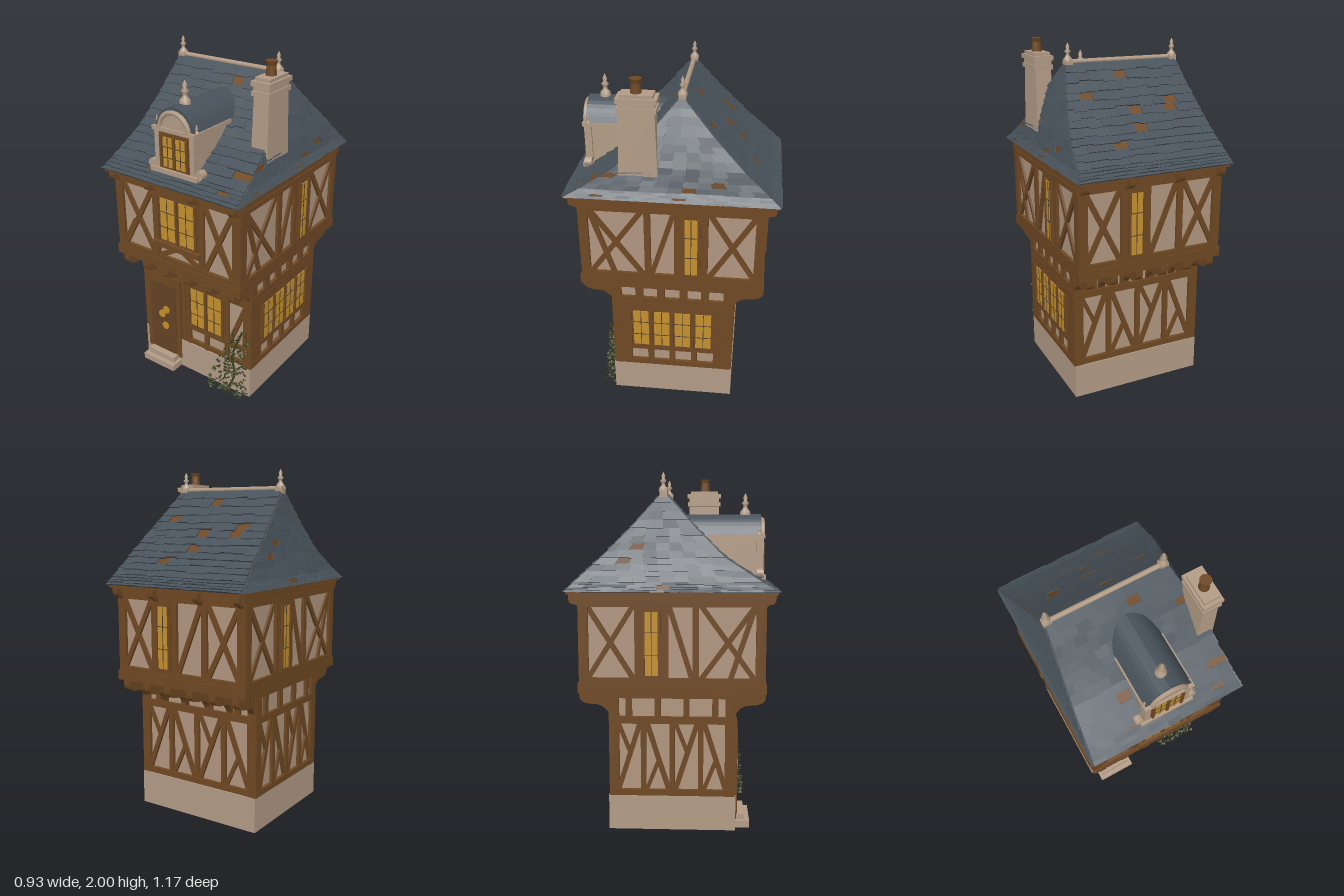
import * as THREE from 'three';
import { mergeGeometries } from 'three/addons/utils/BufferGeometryUtils.js';

const mat = (name, color) => Object.assign(new THREE.MeshStandardMaterial({ color }), { name });
const M = {
  timber: mat('timber', 0x6e4823), plaster: mat('plaster', 0xb0967f), stone: mat('stone', 0xb29b85),
  slate: mat('slate', 0x48525a), glass: mat('amber glass', 0xc4902f), door: mat('door wood', 0x644423),
  ivy: mat('ivy', 0x3c4020), iron: mat('dark metal', 0x4a3d30),
};
let seed = 7;
const rnd = () => (seed = (seed * 16807) % 2147483647) / 2147483647;
const lerp = THREE.MathUtils.lerp;

function add(g, name, geo, m, x = 0, y = 0, z = 0) {
  const mesh = new THREE.Mesh(geo, m);
  mesh.name = name;
  mesh.position.set(x, y, z);
  g.add(mesh);
  return mesh;
}
const box = (g, name, m, w, h, d, x, y, z) => add(g, name, new THREE.BoxGeometry(w, h, d), m, x, y, z);
const group = (parent, name) => {
  const g = new THREE.Group();
  g.name = name;
  parent.add(g);
  return g;
};

// A wall frame: local x runs along the wall, y up, z outward
function wall(parent, name, angle, dist) {
  const g = group(parent, name);
  g.rotation.y = angle;
  g.position.set(Math.sin(angle) * dist, 0, Math.cos(angle) * dist);
  return g;
}
function beam(g, u1, v1, u2, v2, w = 0.032, d = 0.03) {
  const b = box(g, 'timberBeam', M.timber, w, Math.hypot(u2 - u1, v2 - v1), d, (u1 + u2) / 2, (v1 + v2) / 2, 0);
  b.rotation.z = -Math.atan2(u2 - u1, v2 - v1);
}
const posts = (g, us, v0, v1, w) => us.forEach(u => beam(g, u, v0, u, v1, w));
const rails = (g, vs, u0, u1, w) => vs.forEach(v => beam(g, u0, v, u1, v, w, 0.034));
// Diagonal braces in a bay; kind is a string of / and \
function brace(g, u0, u1, v0, v1, kind, w = 0.028) {
  if (kind.includes('/')) beam(g, u0, v0, u1, v1, w, 0.024);
  if (kind.includes('\\')) beam(g, u0, v1, u1, v0, w, 0.022);
}

// Leaded window with n panes
function windowUnit(g, u, v, w, h, n) {
  const win = group(g, 'window');
  box(win, 'windowFrame', M.timber, w + 0.03, h + 0.03, 0.036, u, v, 0);
  const step = w / n, pw = step * (n > 1 ? 0.74 : 0.88);
  for (let i = 0; i < n; i++) {
    const x = u - w / 2 + step * (i + 0.5);
    box(win, 'pane', M.glass, pw, h * 0.94, 0.006, x, v, 0.02);
    [-0.17, 0.17].forEach(k => box(win, 'glazingBar', M.iron, pw, 0.004, 0.004, x, v + h * k, 0.023));
    box(win, 'glazingBar', M.iron, 0.004, h * 0.94, 0.004, x, v, 0.023);
  }
  for (let i = 0; i <= n; i++) box(win, 'mullion', M.timber, 0.014, h, 0.05, u - w / 2 + step * i, v, 0.005);
}

// Curved bracket profile carrying an overhang of depth d and height h, hanging from y = 0
function bracketGeo(d, h, w) {
  const s = new THREE.Shape();
  s.moveTo(0, 0); s.lineTo(0, -h);
  s.quadraticCurveTo(d * 0.15, -h * 0.45, d * 0.6, -h * 0.48);
  s.quadraticCurveTo(d, -h * 0.45, d, -h * 0.2);
  s.lineTo(d, 0);
  const geo = new THREE.ExtrudeGeometry(s, { depth: w, bevelEnabled: false, curveSegments: 6 });
  return geo.translate(0, 0, -w / 2).rotateY(-Math.PI / 2);
}

function finial(g, x, y, z, s) {
  const pts = [[0.028, 0], [0.026, 0.02], [0.012, 0.035], [0.01, 0.05], [0.02, 0.062], [0.008, 0.075], [0.012, 0.09], [0, 0.115]];
  add(g, 'finial', new THREE.LatheGeometry(pts.map(p => new THREE.Vector2(p[0] * s, p[1] * s)), 10), M.stone, x, y, z);
}

// Roof outline by height: y, left, right, front, back
const ROOF = [
  [1.355, -0.452, 0.452, 0.578, -0.578], [1.41, -0.438, 0.438, 0.48, -0.52], [1.54, -0.415, 0.415, 0.28, -0.375],
  [1.7, -0.393, 0.365, 0.12, -0.215], [1.88, -0.372, 0.3, -0.04, -0.05],
];
function ring(t) {
  const k = Math.min(Math.floor(t * 4), 3);
  return ROOF[k].map((a, i) => lerp(a, ROOF[k + 1][i], t * 4 - k));
}
// Point on roof side (0 front, 1 right, 2 back, 3 left), u from its own left to right
function roofPoint(side, u, t) {
  const [y, l, r, f, b] = ring(t);
  const c = [[l, f], [r, f], [r, b], [l, b]], p = c[side], q = c[(side + 1) % 4];
  return new THREE.Vector3(lerp(p[0], q[0], u), y, lerp(p[1], q[1], u));
}
function slate(side, u0, u1, t0, t1, thick) {
  const geo = new THREE.BoxGeometry(1, 1, 1), pos = geo.attributes.position;
  const o = roofPoint(side, u0, t0);
  const n = roofPoint(side, u1, t0).sub(o).cross(roofPoint(side, (u0 + u1) / 2, t1).sub(o)).normalize();
  for (let i = 0; i < pos.count; i++) {
    const up = pos.getY(i) + 0.5;
    const p = roofPoint(side, lerp(u0, u1, pos.getX(i) + 0.5), lerp(t0, t1, up));
    p.addScaledVector(n, pos.getZ(i) > 0 ? lerp(thick, 0.003, up) : 0.0005);
    pos.setXYZ(i, p.x, p.y, p.z);
  }
  geo.computeVertexNormals();
  return geo;
}
function roof(model) {
  const g = group(model, 'roof'), base = [], slates = [], rows = 16;
  for (let s = 0; s < 4; s++) {
    for (let k = 0; k < 4; k++) {
      const c = [[0, k], [1, k], [1, k + 1], [0, k], [1, k + 1], [0, k + 1]].map(([u, t]) => roofPoint(s, u, t / 4));
      base.push(new THREE.BufferGeometry().setFromPoints(c));
    }
    for (let r = 0; r < rows; r++) {
      const t0 = r / rows, t1 = (r + 1) / rows;
      const len = roofPoint(s, 0, t0).distanceTo(roofPoint(s, 1, t0));
      const n = Math.max(1, Math.round(len / 0.075));
      for (let i = 0; i < n; i++) {
        const off = r % 2 ? 0.5 : 0, u0 = Math.max(0, (i - off) / n), u1 = i === n - 1 ? 1 : (i + 1 - off) / n;
        if (rnd() < 0.03 && r > 0) continue;
        slates.push(slate(s, u0, u1, Math.max(0, t0 - rnd() * 0.018), t1, 0.007 + rnd() * 0.006));
      }
    }
  }
  const deck = mergeGeometries(base);
  deck.computeVertexNormals();
  add(g, 'roofDeck', deck, M.timber);
  add(g, 'roofSlates', mergeGeometries(slates), M.slate);
  box(g, 'eaves', M.timber, 0.89, 0.018, 1.14, 0, 1.35, 0);
  const cap = add(g, 'ridgeCap', new THREE.CylinderGeometry(0.014, 0.014, 0.68, 8), M.stone, -0.036, 1.883, -0.045);
  cap.rotation.z = Math.PI / 2;
  [-0.36, 0.285].forEach(x => {
    box(g, 'finialBase', M.stone, 0.045, 0.04, 0.04, x, 1.875, -0.047);
    finial(g, x, 1.885, -0.047, 0.9);
  });
}

function chimney(model) {
  const g = group(model, 'chimney');
  const stack = new THREE.CylinderGeometry(0.066, 0.075, 0.38, 4, 1).rotateY(Math.PI / 4).scale(0.95, 1, 1.95);
  add(g, 'chimneyStack', stack.toNonIndexed(), M.stone, 0.38, 1.67, 0.17).geometry.computeVertexNormals();
  [[0.108, 0.205, 1.845, 0.025], [0.095, 0.185, 1.87, 0.03], [0.115, 0.21, 1.895, 0.025], [0.09, 0.17, 1.915, 0.02]]
    .forEach(([w, d, y, h]) => box(g, 'chimneyCap', M.stone, w, h, d, 0.38, y, 0.17));
  add(g, 'chimneyPot', new THREE.CylinderGeometry(0.024, 0.03, 0.06, 10), M.timber, 0.38, 1.95, 0.175);
  add(g, 'chimneyPotRim', new THREE.CylinderGeometry(0.032, 0.026, 0.022, 10), M.timber, 0.38, 1.988, 0.175);
}

function dormer(model) {
  const g = group(model, 'dormer');
  g.position.x = 0.015;
  box(g, 'dormerBody', M.stone, 0.23, 0.25, 0.36, 0, 1.53, 0.31);
  // Curved slate hood running back into the roof
  const hood = new THREE.Shape();
  hood.moveTo(-0.135, 1.655); hood.lineTo(0.135, 1.655);
  hood.bezierCurveTo(0.11, 1.7, 0.09, 1.765, 0, 1.775);
  hood.bezierCurveTo(-0.09, 1.765, -0.11, 1.7, -0.135, 1.655);
  add(g, 'dormerRoof', new THREE.ExtrudeGeometry(hood, { depth: 0.46, bevelEnabled: false, curveSegments: 8 }), M.slate, 0, 0, 0.04);
  // Arched pediment
  const arch = new THREE.Shape();
  arch.absarc(0, 0, 0.105, 0, Math.PI);
  add(g, 'pediment', new THREE.ExtrudeGeometry(arch, { depth: 0.02, bevelEnabled: false }), M.stone, 0, 1.65, 0.49);
  add(g, 'pedimentArch', new THREE.TorusGeometry(0.095, 0.014, 6, 18, Math.PI), M.stone, 0, 1.65, 0.508);
  box(g, 'cornice', M.stone, 0.28, 0.022, 0.32, 0, 1.648, 0.36);
  box(g, 'dormerSill', M.stone, 0.31, 0.025, 0.06, 0, 1.418, 0.495);
  const face = wall(g, 'dormerFront', 0, 0.49);
  windowUnit(face, 0, 1.525, 0.17, 0.175, 2);
  [-1, 1].forEach(s => {
    box(g, 'pilaster', M.stone, 0.028, 0.21, 0.04, s * 0.115, 1.535, 0.492);
    const scroll = add(g, 'scrollFoot', new THREE.CylinderGeometry(0.026, 0.026, 0.04, 12), M.stone, s * 0.155, 1.44, 0.49);
    scroll.rotation.x = Math.PI / 2;
    finial(g, s * 0.13, 1.655, 0.485, 0.45);
  });
  finial(g, 0, 1.77, 0.41, 1.1);
}

function groundFloor(model) {
  const g = group(model, 'groundFloor');
  box(g, 'stoneBase', M.stone, 0.8, 0.2, 0.715, 0, 0.1, 0);
  box(g, 'groundWalls', M.plaster, 0.77, 0.62, 0.67, 0, 0.5, 0);
  const sides = [['groundFront', 0, 0.338, 0.385], ['groundRight', 1, 0.388, 0.335], ['groundBack', 2, 0.338, 0.385], ['groundLeft', 3, 0.388, 0.335]];
  const [front, right, back, left] = sides.map(([name, q, d, hw]) => {
    const w = wall(g, name, q * Math.PI / 2, d);
    posts(w, [-hw + 0.012, hw - 0.012], 0.2, 0.8, 0.055);
    rails(w, [0.64, 0.785], -hw, hw, 0.04);
    if (q) rails(w, [0.22], -hw, hw, 0.035);
    return w;
  });
  // Front: door, steps and window
  box(front, 'doorFrame', M.timber, 0.265, 0.57, 0.04, -0.245, 0.345, 0.005);
  box(front, 'door', M.door, 0.195, 0.5, 0.02, -0.243, 0.325, 0.022);
  [[-0.215, 0.39], [-0.25, 0.35], [-0.225, 0.27]].forEach(([x, y]) => {
    add(front, 'doorOrnament', new THREE.CylinderGeometry(0.026, 0.026, 0.006, 10).rotateX(Math.PI / 2), M.glass, x, y, 0.034);
  });
  box(g, 'lowerStep', M.stone, 0.24, 0.04, 0.1, -0.24, 0.02, 0.39);
  box(g, 'upperStep', M.stone, 0.2, 0.035, 0.06, -0.24, 0.057, 0.38);
  posts(front, [-0.09, -0.055, 0.23], 0.2, 0.64, 0.028);
  rails(front, [0.22, 0.325], -0.1, 0.385, 0.026);
  posts(front, [0.08], 0.2, 0.32, 0.028);
  brace(front, 0.25, 0.36, 0.34, 0.62, '/');
  windowUnit(front, 0.083, 0.485, 0.25, 0.27, 2);
  // Right: long window
  windowUnit(right, 0, 0.48, 0.49, 0.26, 4);
  rails(right, [0.335, 0.68], -0.33, 0.33, 0.036);
  posts(right, [-0.27, 0.27], 0.22, 0.64, 0.05);
  posts(right, [-0.13, 0, 0.13], 0.22, 0.33, 0.035);
  posts(right, [-0.19, -0.065, 0.065, 0.19], 0.66, 0.79, 0.045);
  // Back and left: braced bays
  [[back, 0.37], [left, 0.32]].forEach(([w, hw]) => {
    const b = hw * 2 / 4;
    for (let i = 0; i < 4; i++) {
      const u = -hw + b * i;
      if (i) posts(w, [u], 0.22, 0.64, 0.03);
      brace(w, u + 0.02, u + b - 0.02, 0.24, 0.62, i % 2 ? '\\' : '/');
      brace(w, u + 0.02, u + b / 2 + 0.01, i % 2 ? 0.24 : 0.44, i % 2 ? 0.42 : 0.62, i % 2 ? '/' : '\\', 0.022);
      posts(w, [u + b / 2], 0.66, 0.78, 0.035);
    }
  });
  // Overhang brackets
  [front, back].forEach(w => [-0.375, -0.23, -0.08, 0.075, 0.225, 0.375].forEach(u =>
    add(w, 'jettyBracket', bracketGeo(0.178, 0.16, 0.042), M.timber, u, 0.805, 0)));
}

function upperFloor(model) {
  const g = group(model, 'upperFloor');
  box(g, 'upperWalls', M.plaster, 0.835, 0.5, 0.985, 0, 1.09, 0);
  box(g, 'jettyBeam', M.timber, 0.875, 0.055, 1.035, 0, 0.828, 0);
  box(g, 'cornicePlate', M.timber, 0.865, 0.04, 1.05, 0, 1.325, 0);
  const sides = [['upperFront', 0, 0.495, 0.42], ['upperRight', 1, 0.42, 0.495], ['upperBack', 2, 0.495, 0.42], ['upperLeft', 3, 0.42, 0.495]];
  const [front, right, back, left] = sides.map(([name, q, d, hw]) => {
    const w = wall(g, name, q * Math.PI / 2, d);
    posts(w, [-hw + 0.015, hw - 0.015], 0.84, 1.32, 0.05);
    rails(w, [0.87, 1.29], -hw, hw, 0.03);
    return w;
  });
  // Front
  posts(front, [-0.14, 0.175], 0.86, 1.29, 0.035);
  windowUnit(front, 0.018, 1.125, 0.26, 0.27, 2);
  box(front, 'windowSill', M.timber, 0.32, 0.03, 0.06, 0.018, 0.97, 0.01);
  brace(front, -0.12, 0.018, 0.88, 0.96, '/');
  brace(front, 0.018, 0.155, 0.88, 0.96, '\\');
  brace(front, -0.38, -0.16, 0.88, 1.28, '/\\');
  brace(front, -0.39, -0.3, 0.88, 1.05, '/', 0.022);
  brace(front, 0.195, 0.38, 0.88, 1.28, '/\\');
  brace(front, 0.28, 0.385, 0.88, 1.06, '\\', 0.022);
  // Sides share a mirrored layout
  [[right, 1], [left, -1]].forEach(([w, s]) => {
    const bay = (a, b, kind) => brace(w, a * s, b * s, 0.88, 1.28, kind);
    posts(w, [-0.13 * s, 0.035 * s, 0.185 * s], 0.86, 1.29, 0.035);
    windowUnit(w, 0.11 * s, 1.075, 0.085, 0.37, 1);
    bay(-0.45, -0.16, '/\\');
    bay(-0.45, -0.32, '\\');
    bay(-0.11, 0.015, '/');
    bay(0.21, 0.46, '/\\');
  });
  // Back
  posts(back, [-0.17, -0.03, 0.17], 0.86, 1.29, 0.035);
  windowUnit(back, -0.1, 1.075, 0.085, 0.37, 1);
  brace(back, -0.39, -0.19, 0.88, 1.28, '/\\');
  brace(back, -0.01, 0.15, 0.88, 1.28, '/');
  brace(back, 0.19, 0.39, 0.88, 1.28, '/\\');
  // Brackets under the eaves
  [front, back].forEach(w => [-0.405, -0.15, 0.15, 0.405].forEach(u =>
    add(w, 'eavesBracket', bracketGeo(0.065, 0.12, 0.036), M.timber, u, 1.345, 0)));
}

function ivy(model) {
  const leaves = [];
  for (let i = 0; i < 170; i++) {
    const h = rnd() ** 1.7, spread = lerp(0.14, 0.05, h);
    const leaf = new THREE.OctahedronGeometry(0.008 + rnd() * 0.009).scale(1, 1, 0.4);
    leaf.rotateX(rnd() * 3).rotateY(rnd() * 3);
    leaves.push(leaf.translate(lerp(0.25, 0.35, h) + (rnd() - 0.5) * 2 * spread, 0.015 + h * 0.45, 0.365 + rnd() * lerp(0.07, 0.015, h)));
  }
  add(model, 'ivyLeaves', mergeGeometries(leaves), M.ivy);
  const path = [[0.25, 0, 0.38], [0.3, 0.13, 0.37], [0.28, 0.25, 0.365], [0.35, 0.46, 0.36]].map(p => new THREE.Vector3(...p));
  add(model, 'ivyStem', new THREE.TubeGeometry(new THREE.CatmullRomCurve3(path), 16, 0.007, 5), M.ivy);
}

export function createModel() {
  const model = new THREE.Group();
  model.name = 'timberHouse';
  [groundFloor, upperFloor, roof, chimney, dormer, ivy].forEach(build => build(model));
  return model;
}
